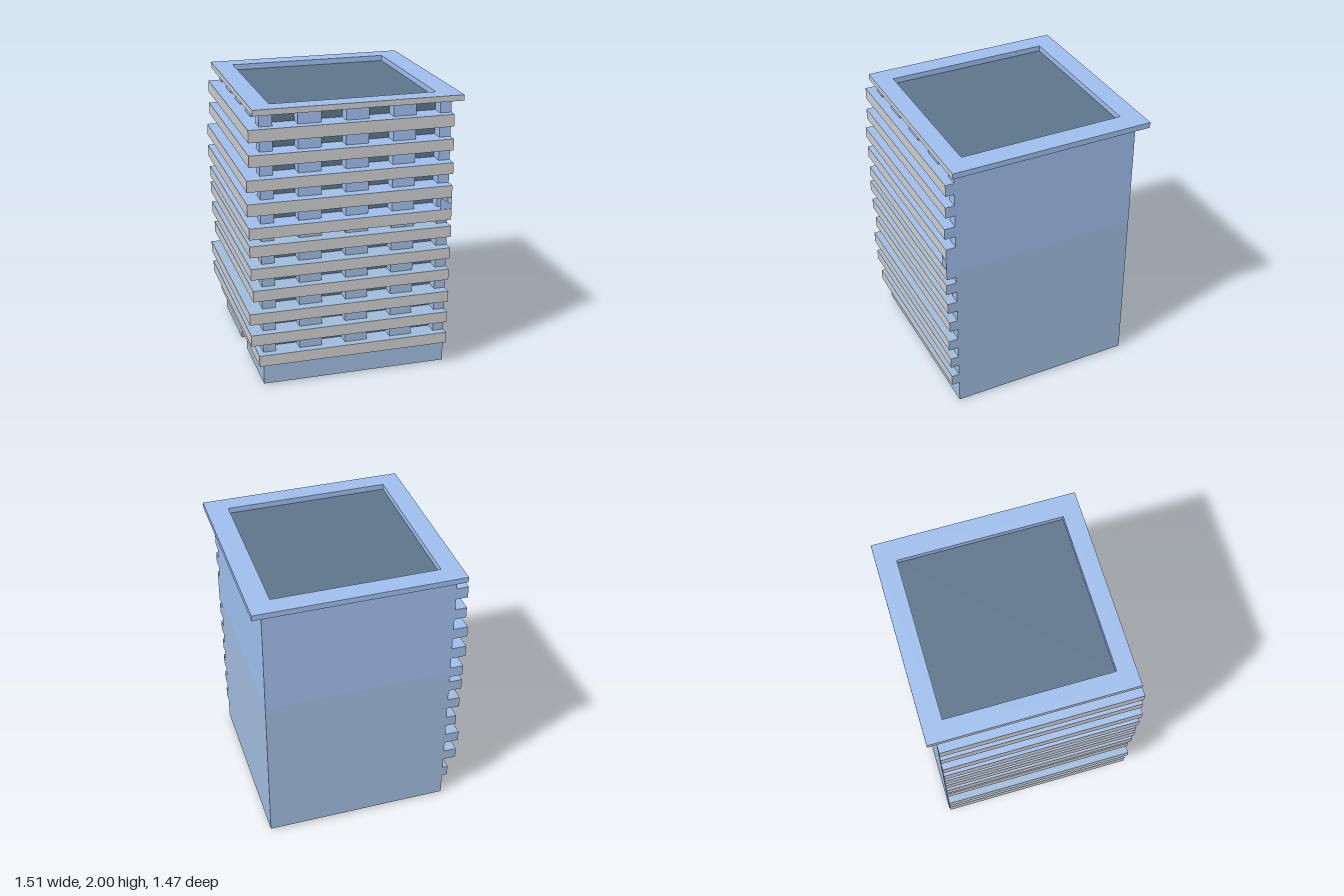
import * as THREE from 'three';

// Wall planes, levels and colours
const X0 = -0.65, X1 = 0.68, Z0 = -0.67, Z1 = 0.66;
const BASE = 0.01, SEAM = 1.165, CAP = 1.96, TOP = 2, RECESS = 0.09;
const LOWER = 0x9fbbdc, UPPER = 0x9fbeec, DARK = 0x5d748b, GREY = 0xcccccc;

// Balcony slabs: bottom, top, reach towards -x, reach towards +z
const SLABS = [
  [0.175, 0.255, -0.69, 0.715], [0.34, 0.42, -0.745, 0.72], [0.505, 0.585, -0.755, 0.73],
  [0.67, 0.75, -0.725, 0.72], [0.835, 0.915, -0.74, 0.73], [1.0, 1.08, -0.745, 0.735],
  [1.125, 1.205, -0.745, 0.73], [1.29, 1.375, -0.755, 0.73], [1.46, 1.54, -0.755, 0.735],
  [1.625, 1.705, -0.735, 0.725], [1.79, 1.875, -0.735, 0.72],
];
// Window openings, measured along a facade from the shared front corner
const WINDOWS = [[0.09, 0.26], [0.42, 0.59], [0.75, 0.92], [1.08, 1.25]];

// Facade coordinates: u along the wall, y up, d inward from the wall plane
const frontPoint = (u, y, d) => [X0 + u, y, Z1 - d];
const sidePoint = (u, y, d) => [X0 + d, y, Z1 - u];
const LENGTH = X1 - X0;

export function createModel() {
  const model = new THREE.Group();
  const parts = new Map();

  // Adds a four-cornered panel to a named part
  const quad = (name, color, a, b, c, d) => {
    if (!parts.has(name)) parts.set(name, { color, points: [] });
    parts.get(name).points.push(...a, ...b, ...c, ...a, ...c, ...d);
  };
  // Horizontal panel
  const flat = (name, color, x0, x1, z0, z1, y) =>
    quad(name, color, [x0, y, z1], [x1, y, z1], [x1, y, z0], [x0, y, z0]);
  // Vertical panel standing on the line from (xa, za) to (xb, zb)
  const upright = (name, color, xa, za, xb, zb, y0, y1) =>
    quad(name, color, [xa, y0, za], [xb, y0, zb], [xb, y1, zb], [xa, y1, za]);

  // Plain right and back walls, in two tones
  for (const [name, color, y0, y1] of [['Lower', LOWER, BASE, SEAM], ['Upper', UPPER, SEAM, CAP]]) {
    upright('plainWalls' + name, color, X1, Z1, X1, Z0, y0, y1);
    upright('plainWalls' + name, color, X1, Z0, X0, Z0, y0, y1);
  }

  // Base walls, with a doorway recess in the -x side
  const firstSlab = SLABS[0][0], door = 0.09, inner = X0 + 0.17;
  upright('baseWall', LOWER, X0, Z1, X1, Z1, BASE, firstSlab);
  upright('baseWall', LOWER, X0, Z0, X0, -door, BASE, firstSlab);
  upright('baseWall', LOWER, X0, door, X0, Z1, BASE, firstSlab);
  for (const z of [-door, door]) upright('doorJambs', LOWER, X0, z, inner, z, BASE, firstSlab);
  flat('doorCeiling', LOWER, X0, inner, -door, door, firstSlab);
  upright('doorPanel', DARK, inner, -door, inner, door, 0, firstSlab);

  // Hollow slabs wrapping the front corner
  for (const [y0, y1, x, z] of SLABS) {
    const [tone, name] = y0 < 1.1 ? [LOWER, 'slabsLower'] : [UPPER, 'slabsUpper'];
    for (const y of [y0, y1]) {
      flat(name, tone, x, X1, Z1, z, y);
      flat(name, tone, x, X0, Z0, Z1, y);
    }
    upright(name, tone, X1, z, X1, Z1, y0, y1);
    upright(name, tone, X0, Z0, x, Z0, y0, y1);
    upright('slabEdges', GREY, x, z, X1, z, y0, y1);
    upright('slabEdges', GREY, x, Z0, x, z, y0, y1);
  }

  // Piers and recessed windows in every storey of both facades
  SLABS.forEach((slab, i) => {
    const y0 = slab[1], y1 = i + 1 < SLABS.length ? SLABS[i + 1][0] : CAP;
    const [tone, end] = y0 < 1.1 ? [LOWER, 'Lower'] : [UPPER, 'Upper'];
    for (const p of [frontPoint, sidePoint]) {
      const wall = (name, color, u0, d0, u1, d1) =>
        quad(name, color, p(u0, y0, d0), p(u1, y0, d1), p(u1, y1, d1), p(u0, y1, d0));
      let start = 0;
      for (const [u0, u1] of WINDOWS) {
        wall('piers' + end, tone, start, 0, u0, 0);
        wall('windowJambs' + end, tone, u0, 0, u0, RECESS);
        wall('windowJambs' + end, tone, u1, RECESS, u1, 0);
        wall('windowPanes', DARK, u0, RECESS, u1, RECESS);
        for (const y of [y0, y1]) {
          quad('windowSills' + end, tone, p(u0, y, 0), p(u1, y, 0), p(u1, y, RECESS), p(u0, y, RECESS));
        }
        start = u1;
      }
      wall('piers' + end, tone, start, 0, LENGTH, 0);
    }
  });

  // Closed end and slanting brace between two slabs at the right corner
  upright('slabBrace', UPPER, X1, Z1, X1, 0.73, 1.205, 1.29);
  quad('slabBrace', UPPER, [0.6, 1.21, 0.725], [X1, 1.16, 0.725], [X1, 1.24, 0.725], [0.6, 1.29, 0.725]);

  // Roof cap: overhanging rim around a sunken deck
  const outer = [-0.70, 0.755, -0.735, 0.70], hole = [-0.56, 0.60, -0.595, 0.57];
  const rim = (ax, bx, az, bz, [cx, dx, cz, ez], y) => {
    flat('roofRim', UPPER, ax, bx, az, cz, y);
    flat('roofRim', UPPER, ax, bx, ez, bz, y);
    flat('roofRim', UPPER, ax, cx, cz, ez, y);
    flat('roofRim', UPPER, dx, bx, cz, ez, y);
  };
  rim(...outer, hole, TOP);
  rim(...outer, hole, CAP);
  for (const [x0, x1, z0, z1] of [outer, hole]) {
    const isOuter = x0 === outer[0];
    const [name, color] = isOuter ? ['roofEdges', GREY] : ['roofRim', UPPER];
    upright('roofRim', UPPER, x1, z1, x1, z0, CAP, TOP);
    upright('roofRim', UPPER, x1, z0, x0, z0, CAP, TOP);
    upright(name, color, x0, z0, x0, z1, CAP, TOP);
    upright(name, color, x0, z1, x1, z1, CAP, TOP);
  }
  flat('roofDeck', DARK, ...hole, CAP);

  // Turn each collected part into a mesh
  for (const [name, { color, points }] of parts) {
    const geometry = new THREE.BufferGeometry();
    geometry.setAttribute('position', new THREE.Float32BufferAttribute(points, 3));
    geometry.computeVertexNormals();
    const material = new THREE.MeshStandardMaterial({ color, side: THREE.DoubleSide });
    const mesh = new THREE.Mesh(geometry, material);
    mesh.name = name;
    model.add(mesh);
  }
  model.name = 'tower';
  return model;
}
